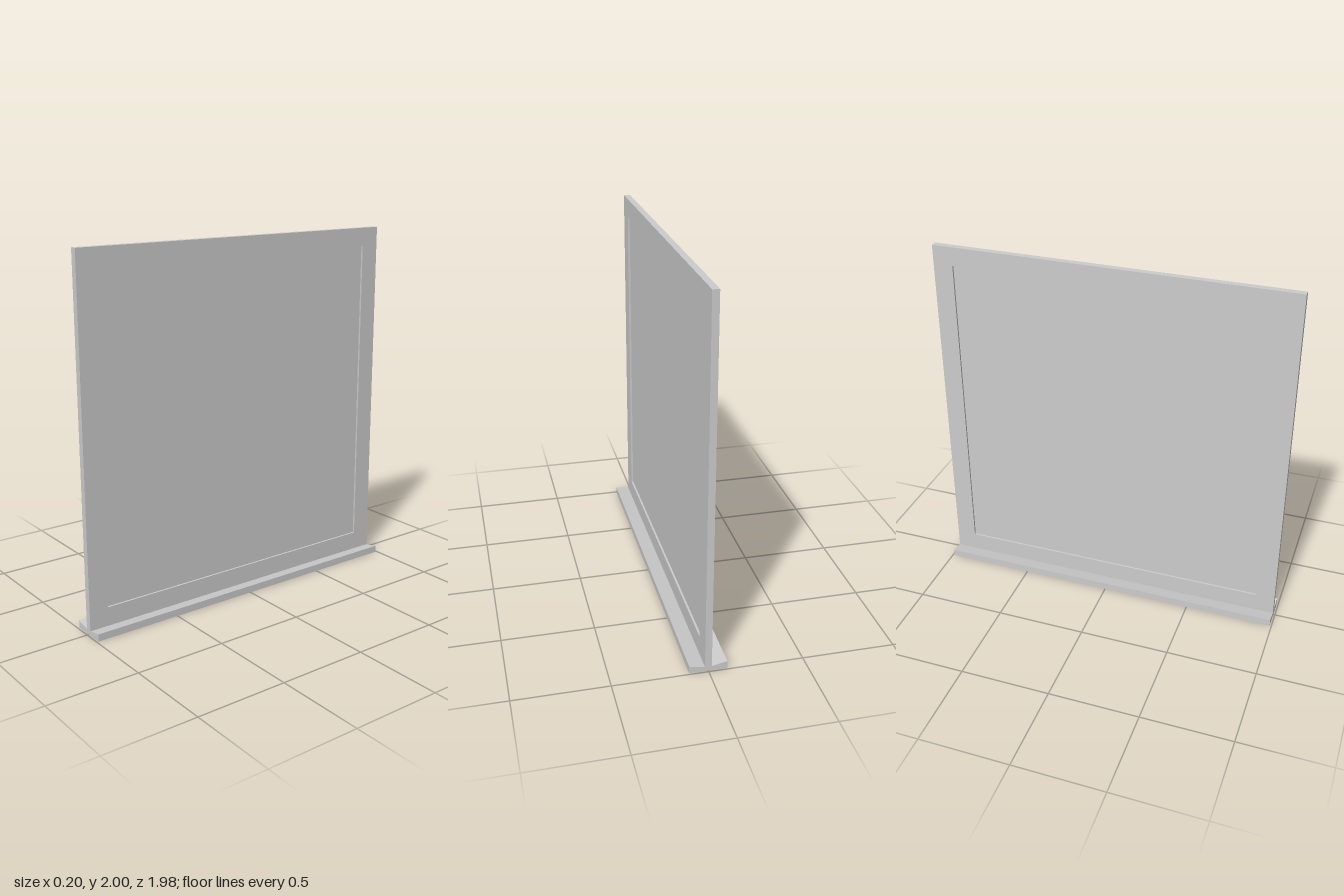
import * as THREE from 'three';

const LENGTH = 1.98;
const HALF = LENGTH / 2;
const THICK = 0.036;

const grey = new THREE.MeshStandardMaterial({ color: 0xcccccc, side: THREE.DoubleSide });
grey.name = 'grey';

function rect(target, x0, y0, x1, y1) {
  target.moveTo(x0, y0);
  target.lineTo(x1, y0);
  target.lineTo(x1, y1);
  target.lineTo(x0, y1);
  target.closePath();
  return target;
}

function add(group, name, geometry) {
  const mesh = new THREE.Mesh(geometry, grey);
  mesh.name = name;
  group.add(mesh);
  return mesh;
}

// Open strip running along z from a list of [x, y] points
function strip(points) {
  const pos = [];
  for (let i = 0; i < points.length - 1; i++) {
    const [ax, ay] = points[i], [bx, by] = points[i + 1];
    const a0 = [ax, ay, -HALF], a1 = [ax, ay, HALF];
    const b0 = [bx, by, -HALF], b1 = [bx, by, HALF];
    pos.push(...a0, ...a1, ...b1, ...a0, ...b1, ...b0);
  }
  const g = new THREE.BufferGeometry();
  g.setAttribute('position', new THREE.Float32BufferAttribute(pos, 3));
  g.computeVertexNormals();
  return g;
}

export function createModel() {
  const model = new THREE.Group();
  model.name = 'standingPanel';

  // Upright frame with a rectangular opening
  const outline = rect(new THREE.Shape(), -HALF, 0.025, HALF, 2);
  outline.holes.push(rect(new THREE.Path(), -0.88, 0.13, 0.88, 1.895));
  const frame = new THREE.ExtrudeGeometry(outline, { depth: THICK, bevelEnabled: false });
  frame.translate(0, 0, -THICK / 2);
  frame.rotateY(Math.PI / 2);
  add(model, 'frame', frame);

  // Pane recessed on both sides
  const pane = add(model, 'pane', new THREE.BoxGeometry(0.014, 1.765, 1.76));
  pane.position.y = 1.0125;

  // Hollow foot: sloping tops and outer walls, open underneath
  const t = THICK / 2;
  add(model, 'footLeft', strip([[t, 0.025], [0.1, 0.04], [0.1, 0]]));
  add(model, 'footRight', strip([[-0.1, 0], [-0.1, 0.04], [-t, 0.025]]));

  // End caps of the foot
  const profile = new THREE.Shape([
    [-0.1, 0], [0.1, 0], [0.1, 0.04], [t, 0.025], [-t, 0.025], [-0.1, 0.04],
  ].map(([x, y]) => new THREE.Vector2(x, y)));
  for (const [name, side] of [['footFrontCap', 1], ['footBackCap', -1]]) {
    const cap = add(model, name, new THREE.ShapeGeometry(profile));
    cap.position.z = side * HALF;
    if (side < 0) cap.rotation.y = Math.PI;
  }

  return model;
}
